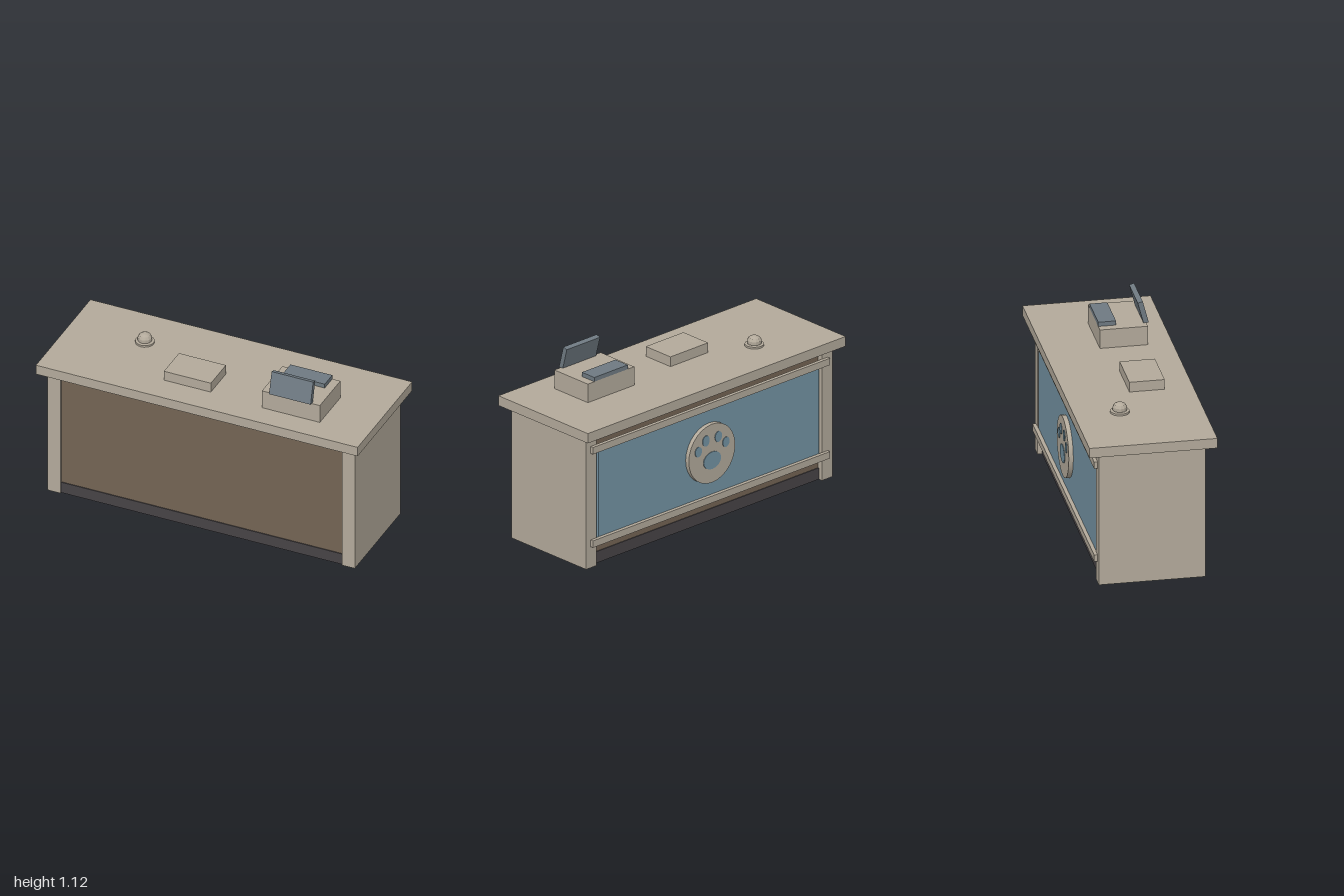
import * as THREE from 'three';

const mat = (name, color) => new THREE.MeshStandardMaterial({ name, color });

export function createModel() {
  const group = new THREE.Group();
  const beige = mat('beige wood', 0xb3aa9b);
  const brown = mat('brown panel', 0x736454);
  const dark = mat('dark kickboard', 0x474346);
  const blue = mat('blue panel', 0x7493a3);
  const slate = mat('slate plastic', 0x6f7a82);

  const add = (name, geometry, material) => {
    const mesh = new THREE.Mesh(geometry, material);
    mesh.name = name;
    group.add(mesh);
    return mesh;
  };
  // Box from its extents on each axis
  const box = (name, material, x0, x1, y0, y1, z0, z1) => {
    const mesh = add(name, new THREE.BoxGeometry(x1 - x0, y1 - y0, z1 - z0), material);
    mesh.position.set((x0 + x1) / 2, (y0 + y1) / 2, (z0 + z1) / 2);
    return mesh;
  };

  // Counter carcass
  box('counterTop', beige, -1, 1, 0.81, 0.87, -0.368, 0.368);
  box('leftEndPanel', beige, 0.875, 0.955, 0, 0.81, -0.306, 0.308);
  box('rightEndPanel', beige, -0.955, -0.875, 0, 0.81, -0.306, 0.308);
  box('body', brown, -0.875, 0.875, 0.07, 0.81, -0.275, 0.295);
  box('kickboard', dark, -0.875, 0.875, 0, 0.07, -0.28, 0.3);

  // Decorated back face
  box('bluePanel', blue, -0.855, 0.855, 0.15, 0.72, -0.303, -0.275);
  for (const [name, y] of [['lowerRail', 0.13], ['upperRail', 0.705]]) {
    box(name, beige, -0.92, 0.92, y, y + 0.042, -0.326, -0.304);
  }

  // Round badge with a paw of thin oval pads
  const badgeY = 0.437;
  const badge = add('badge', new THREE.CylinderGeometry(0.18, 0.18, 0.028, 28), beige);
  badge.rotation.x = Math.PI / 2;
  badge.position.set(0, badgeY, -0.315);
  const pads = [
    ['mainPad', 0, -0.042, 0.068, 0.053],
    ['outerToeLeft', 0.107, 0.04, 0.026, 0.031],
    ['outerToeRight', -0.107, 0.04, 0.026, 0.031],
    ['innerToeLeft', 0.048, 0.09, 0.027, 0.033],
    ['innerToeRight', -0.048, 0.09, 0.027, 0.033],
  ];
  for (const [name, x, y, rx, ry] of pads) {
    const pad = add(name, new THREE.CylinderGeometry(1, 1, 0.006, 16), blue);
    pad.scale.set(rx, 1, ry);
    pad.rotation.x = Math.PI / 2;
    pad.position.set(x, badgeY + y, -0.33);
  }

  // Till: base, keypad and leaning screen
  box('tillBase', beige, 0.34, 0.7, 0.87, 0.984, -0.05, 0.226);
  box('keypad', slate, 0.39, 0.65, 0.984, 1.01, -0.05, 0.052);
  const screen = add('tillScreen', new THREE.BoxGeometry(0.258, 0.136, 0.03), slate);
  screen.position.set(0.52, 1.047, 0.209);
  screen.rotation.x = -0.26;

  // Low tray on the counter
  box('tray', beige, -0.28, 0.012, 0.87, 0.93, 0, 0.203);

  // Service bell
  const bellBase = add('bellBase', new THREE.CylinderGeometry(0.055, 0.055, 0.011, 20), beige);
  bellBase.position.set(-0.54, 0.8755, -0.105);
  const profile = [[0.03, 0], [0.041, 0.004], [0.041, 0.024], [0.032, 0.039], [0.015, 0.049], [0, 0.05]];
  const dome = new THREE.LatheGeometry(profile.map(([r, y]) => new THREE.Vector2(r, y)), 12).toNonIndexed();
  dome.computeVertexNormals();
  add('bellDome', dome, beige).position.set(-0.54, 0.881, -0.105);

  return group;
}
